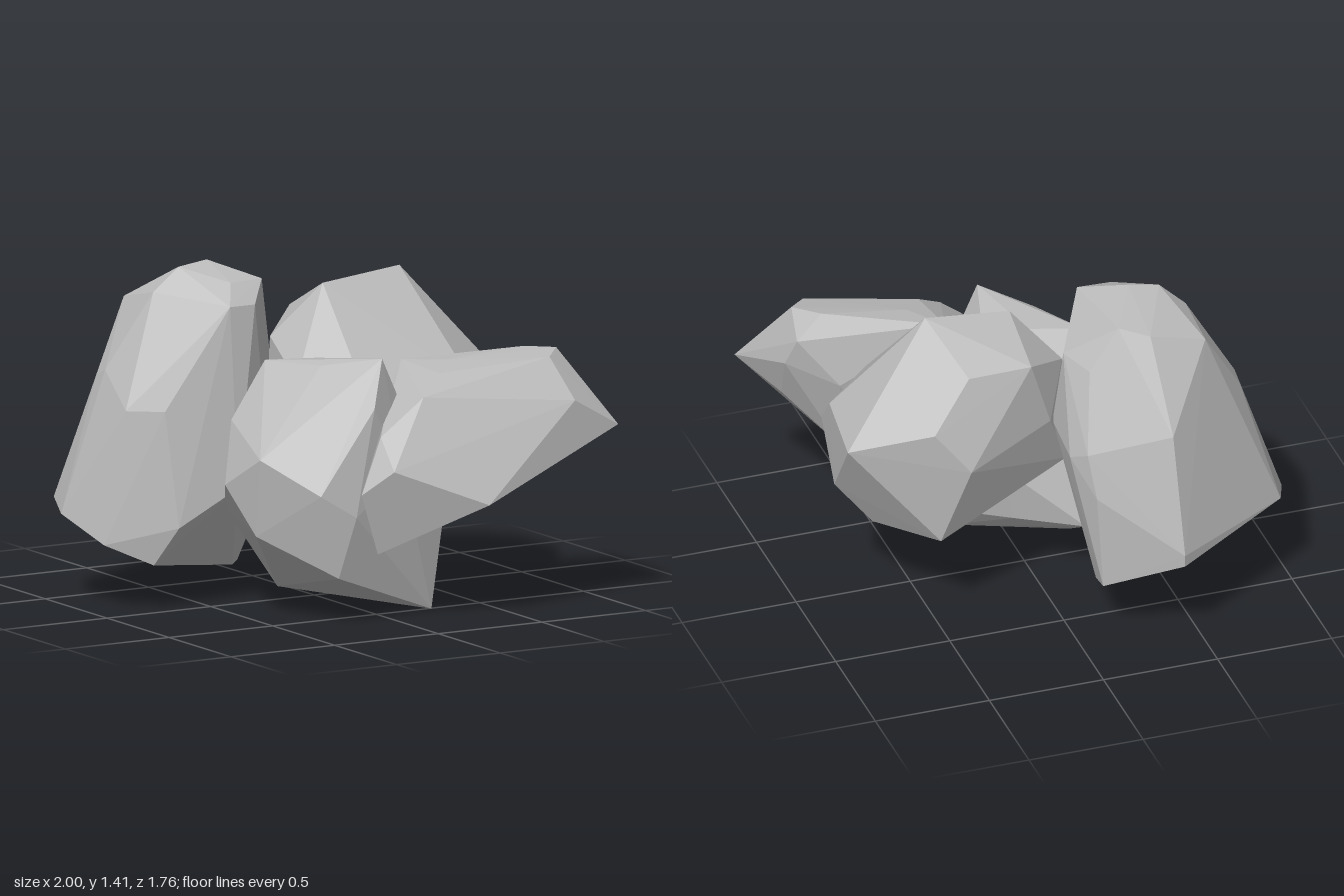
import * as THREE from 'three';
import { ConvexGeometry } from 'three/addons/geometries/ConvexGeometry.js';

const stone = new THREE.MeshStandardMaterial({ color: 0xb8b8b8, flatShading: true });
stone.name = 'grey stone';

// A boulder is the faceted hull around its corner points.
function boulder(name, corners) {
  const points = corners.map((c) => new THREE.Vector3(...c));
  const mesh = new THREE.Mesh(new ConvexGeometry(points), stone);
  mesh.name = name;
  return mesh;
}

export function createModel() {
  const group = new THREE.Group();
  group.name = 'rockPile';

  // Tall rock: its base is one flat cut, tilted up towards the back right
  const cut = ([x, z]) => [x, -0.03 - 0.275 * x - 0.363 * z, z];
  const base = [
    [-0.4, -0.88], [-0.94, -0.53], [-1, -0.37], [-0.93, -0.14], [-0.75, -0.04],
    [-0.27, -0.21], [-0.21, -0.27], [-0.13, -0.53], [-0.11, -0.68],
  ].map(cut);
  group.add(boulder('tallRock', [
    ...base,
    // crown
    [-0.37, 1.41, -0.25], [-0.5, 1.39, -0.26], [-0.61, 1.29, -0.28], [-0.62, 1.24, -0.5],
    [-0.38, 1.3, -0.5], [-0.26, 1.33, -0.44], [-0.2, 1.34, -0.09],
    [-0.35, 1.335, -0.09], [-0.4, 1.25, -0.01], [-0.28, 1.25, -0.01],
    // flanks
    [-0.06, 1.18, -0.32], [-0.13, 1.15, -0.45], [-0.02, 0.85, -0.3], [-0.02, 0.8, -0.52],
    [-0.38, 1.02, -0.64], [-0.4, 0.94, -0.73], [-0.09, 0.66, -0.66], [-0.07, 0.84, -0.6],
    [-0.8, 0.97, -0.35], [-0.8, 0.94, -0.42], [-0.61, 0.98, -0.57],
    [-0.82, 0.83, -0.15], [-0.69, 0.83, -0.05], [-0.4, 0.45, -0.88],
    // bulge above the front of the base
    [-0.67, 0.35, 0.03], [-0.41, 0.5, 0.07], [-0.17, 0.5, -0.07],
  ]));

  // Upper right rock
  group.add(boulder('upperRock', [
    [0.47, 1.33, -0.1], [0.1, 1.29, -0.1], [0.09, 1.16, -0.35], [0.36, 1.15, -0.34],
    [0.53, 0.94, -0.4], [0.39, 0.77, -0.46], [0.86, 0.84, -0.25],
    [0.83, 0.89, 0.07], [0.58, 0.88, 0.32], [0.82, 0.75, 0.2], [0.85, 0.57, -0.05],
    [0.69, 0.45, 0.28], [0.59, 0.32, 0.05], [0.7, 0.39, -0.1], [0.36, 0.28, 0.08],
    [0.5, 0.42, -0.39], [-0.1, 1.07, -0.19], [-0.12, 0.92, 0.06], [0.1, 0.85, 0.27],
    [0, 0.87, -0.33], [-0.1, 0.62, -0.24], [0.02, 0.55, 0], [0.1, 0.5, 0.22],
  ]));

  // Front rock with its pointed right end
  group.add(boulder('frontRock', [
    [1, 0.75, 0.78], [0.32, 0.49, 0.88], [-0.07, 0.28, 0.63], [-0.16, 0.54, 0.65],
    [-0.05, 0.64, 0.73], [-0.05, 0.77, 0.62], [0.15, 0.92, 0.63], [0.27, 1.0, 0.56],
    [0.74, 1.04, 0.66], [0.78, 0.875, 0.8], [0.82, 1.06, 0.58], [0.72, 1.06, 0.49],
    [0.85, 0.99, 0.42], [0.89, 0.87, 0.46], [0.69, 0.79, 0.34], [0.36, 1.03, 0.45],
    [0.24, 1.02, 0.3], [0.14, 0.93, 0.38], [0.39, 0.35, 0.36], [0.66, 0.45, 0.42],
    [0.87, 0.67, 0.56], [0.1, 0.35, 0.42],
  ]));

  // Lowest rock, standing on one corner
  group.add(boulder('lowerRock', [
    [0.26, 0, 0.51], [-0.22, 0.07, 0.07], [-0.27, 0.2, 0.65], [-0.19, 0.45, 0.66],
    [-0.35, 0.55, 0.64], [-0.49, 0.35, 0.35], [-0.5, 0.68, 0.4], [-0.55, 0.55, 0.2],
    [-0.46, 0.8, 0.1], [-0.28, 1.03, 0.07], [-0.15, 1.03, 0.3], [0.04, 1.07, 0.48],
    [-0.07, 1.03, 0.14], [0.1, 0.93, 0.22], [-0.05, 0.88, 0.57], [0.1, 0.6, 0.55],
    [0.37, 0.4, 0.43], [0.33, 0.28, 0.06], [0.28, 0.15, 0.14], [0.08, 0.28, -0.1],
    [-0.19, 0.26, -0.23], [-0.4, 0.4, -0.05], [0.15, 0.55, -0.1],
  ]));

  return group;
}
